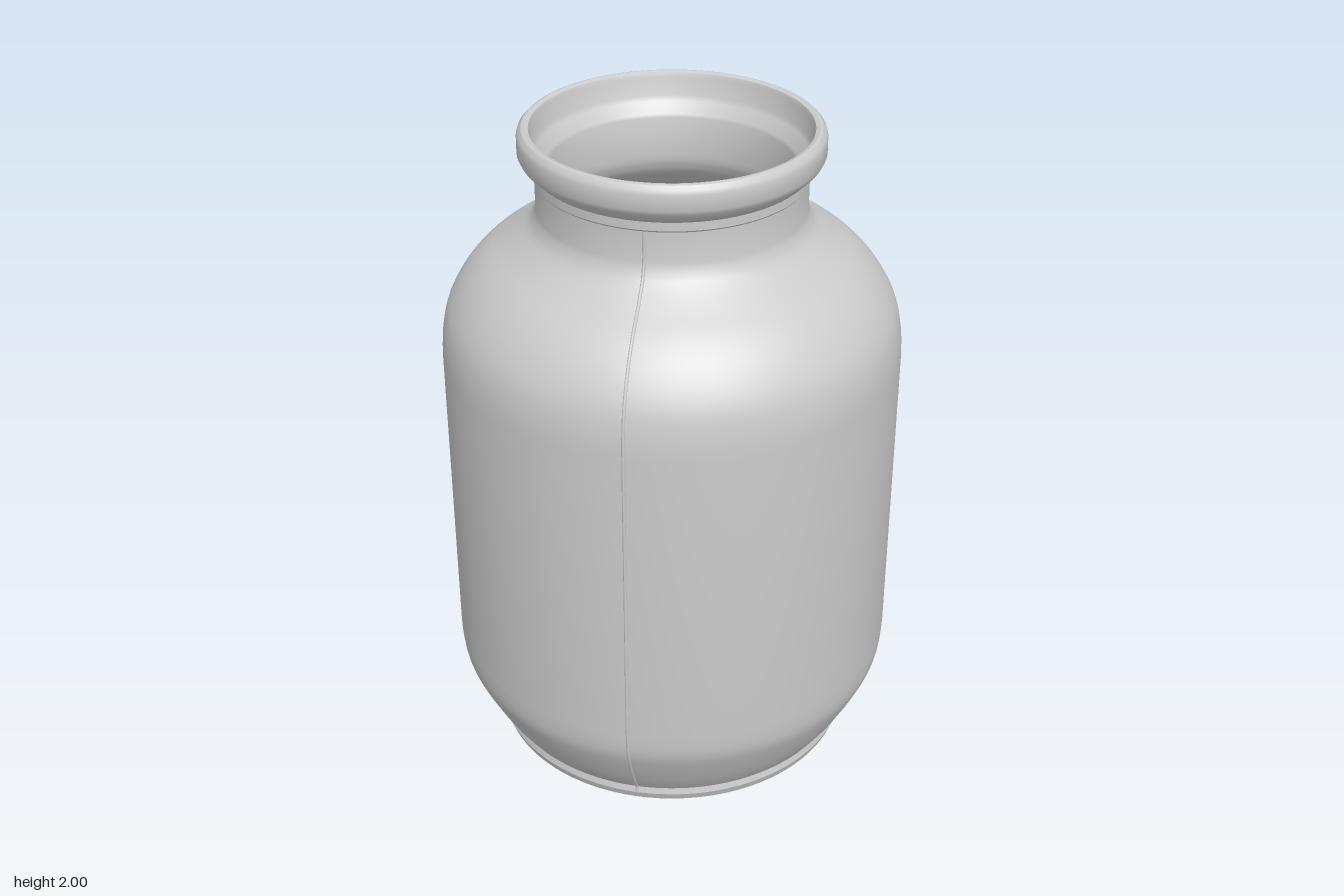
import * as THREE from 'three';
import { toCreasedNormals } from 'three/addons/utils/BufferGeometryUtils.js';

const vec = ([r, y]) => new THREE.Vector2(r, y);
const smooth = (pts, n) => new THREE.SplineCurve(pts.map(vec)).getPoints(n);

export function createModel() {
  const jar = new THREE.Group();
  jar.name = 'jar';
  const material = new THREE.MeshStandardMaterial({ color: 0xcccccc });

  // Outer wall: foot curve, straight side, shoulder curve, neck
  const heel = smooth([[0.55, 0.065], [0.592, 0.13], [0.643, 0.23], [0.665, 0.29], [0.672, 0.36]], 14);
  const shoulder = smooth([[0.672, 1.31], [0.668, 1.38], [0.65, 1.46], [0.605, 1.54],
    [0.545, 1.605], [0.47, 1.66], [0.41, 1.71], [0.39, 1.745]], 24);
  const foot = [[0, 0], [0.505, 0], [0.53, 0.006], [0.546, 0.02], [0.555, 0.045]].map(vec);
  const neck = [[0.386, 1.76], [0.386, 1.85], [0.39, 1.855], [0.39, 1.88]].map(vec);

  // Flared lip, then the inside down to the floor
  const lip = [[0.397, 1.886], [0.425, 1.915], [0.432, 1.93], [0.432, 1.975], [0.428, 1.988],
    [0.418, 1.998], [0.41, 2], [0.398, 1.996], [0.394, 1.985], [0.39, 1.93], [0.382, 1.915],
    [0.354, 1.885], [0.35, 1.875], [0.35, 1.755]].map(vec);
  const inside = [
    ...smooth([[0.352, 1.735], [0.375, 1.69], [0.44, 1.635], [0.52, 1.575], [0.58, 1.515],
      [0.62, 1.44], [0.637, 1.31]], 20),
    ...smooth([[0.637, 0.36], [0.61, 0.24], [0.56, 0.14], [0.51, 0.065]], 12),
    vec([0.48, 0.04]), vec([0, 0.04]),
  ];

  const profile = [...foot, ...heel, ...shoulder, ...neck, ...lip, ...inside];
  const body = new THREE.Mesh(
    toCreasedNormals(new THREE.LatheGeometry(profile, 96), 0.5), material);
  body.name = 'jarBody';
  jar.add(body);

  // Two fine mould seams on opposite sides, following the outer wall
  const seamLine = [foot[4], ...heel, vec([0.672, 0.8]), ...shoulder, neck[0], neck[1]];
  const seamPath = new THREE.CatmullRomCurve3(
    seamLine.map((p) => new THREE.Vector3(p.x - 0.001, p.y, 0)), false, 'centripetal');
  const seamGeometry = new THREE.TubeGeometry(seamPath, 100, 0.005, 8);
  const seamAngle = THREE.MathUtils.degToRad(38);
  for (const [name, turn] of [['frontSeam', 0], ['backSeam', Math.PI]]) {
    const seam = new THREE.Mesh(seamGeometry, material);
    seam.name = name;
    seam.rotation.y = seamAngle - Math.PI / 2 + turn;
    jar.add(seam);
  }
  return jar;
}
